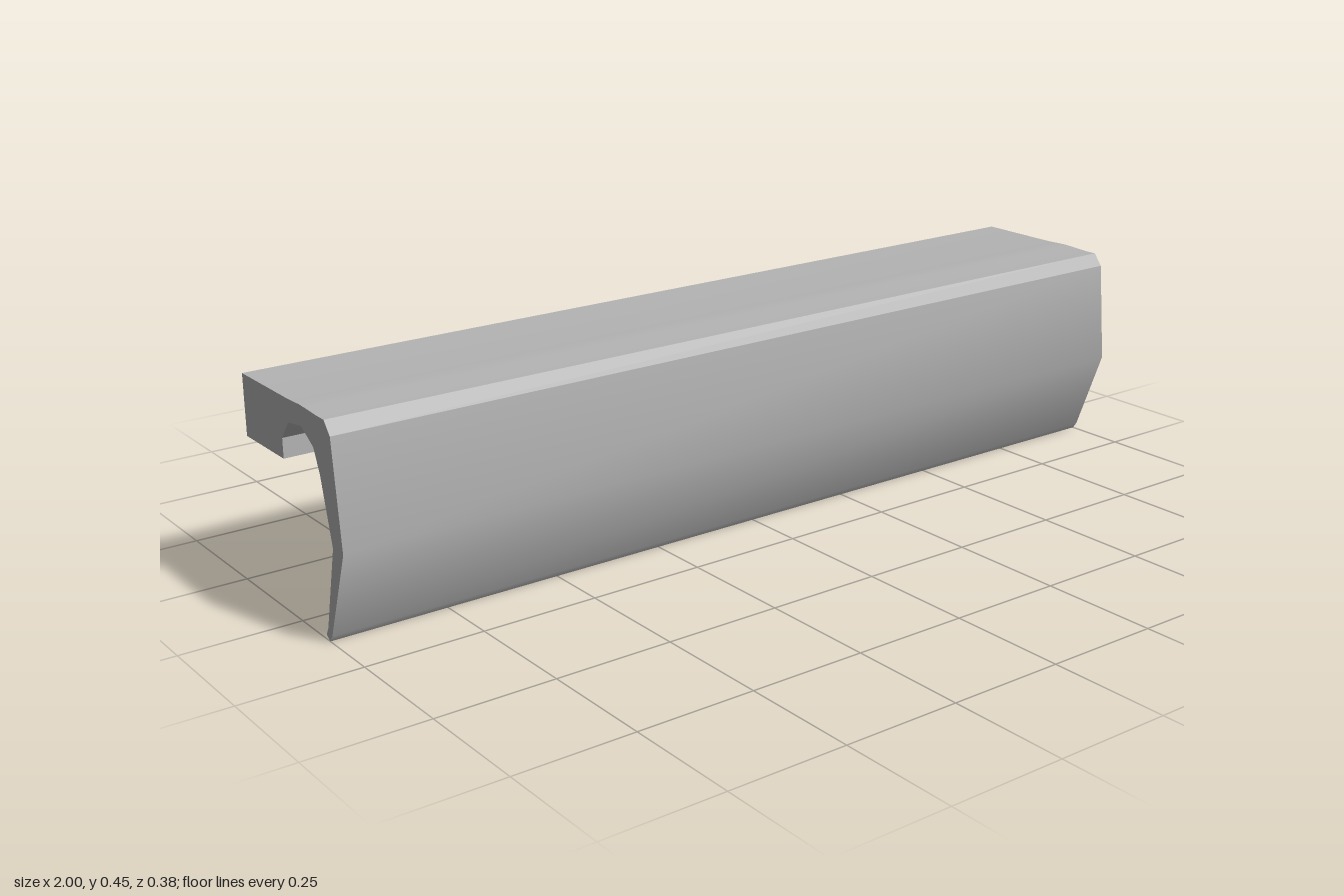
import * as THREE from 'three';
import { toCreasedNormals } from 'three/addons/utils/BufferGeometryUtils.js';

export function createModel() {
  const group = new THREE.Group();
  group.name = 'edgeTrim';
  const grey = new THREE.MeshStandardMaterial({ color: 0xb4b4b4 });
  grey.name = 'plain grey';

  // Cross-section as [z, y]: hooked lip in front, square mounting bar behind
  const section = [
    // outer face, from the back up over the top and down the front
    [-0.192, 0.32], [-0.192, 0.447], [0, 0.447], [0.025, 0.448], [0.053, 0.449],
    [0.08, 0.448], [0.12, 0.446], [0.15, 0.446], [0.171, 0.42], [0.193, 0.2],
    [0.125, 0.015], [0.115, 0.001],
    // inner face, from the tip up into the channel
    [0.101, 0.01], [0.11, 0.026], [0.153, 0.2], [0.12, 0.333], [0.1, 0.38],
    [0.055, 0.408], [0, 0.4], [-0.031, 0.361], [-0.031, 0.32],
  ];
  const shape = new THREE.Shape(section.map(([z, y]) => new THREE.Vector2(z, y)));

  // Sweep the section along x, with soft curves and crisp corners
  const body = new THREE.ExtrudeGeometry(shape, { depth: 2, bevelEnabled: false });
  body.rotateY(-Math.PI / 2).translate(1, -0.001, 0);
  const mesh = new THREE.Mesh(toCreasedNormals(body, Math.PI / 6), grey);
  mesh.name = 'hookedRail';
  group.add(mesh);
  return group;
}
